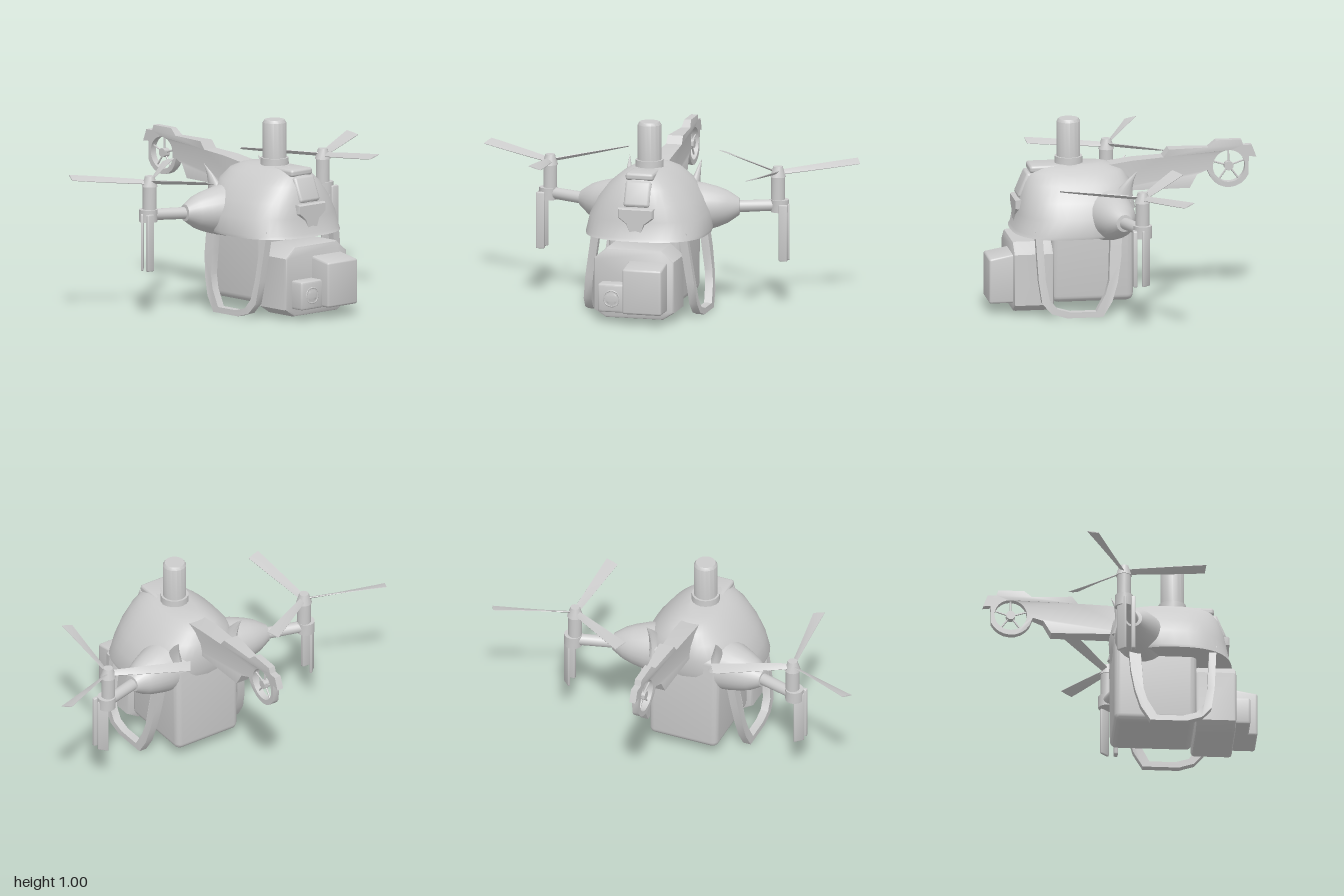
import * as THREE from 'three';
import { toCreasedNormals } from 'three/addons/utils/BufferGeometryUtils.js';
import { RoundedBoxGeometry } from 'three/addons/geometries/RoundedBoxGeometry.js';

const material = new THREE.MeshStandardMaterial({ color: 0xcccccc });
const V = (x, y, z) => new THREE.Vector3(x, y, z);

export function createModel() {
  const model = new THREE.Group();

  function add(name, geometry, x = 0, y = 0, z = 0, crease = 0.6) {
    const mesh = new THREE.Mesh(toCreasedNormals(geometry, crease), material);
    mesh.name = name;
    mesh.position.set(x, y, z);
    model.add(mesh);
    return mesh;
  }

  // Moves every vertex by a rule
  function warp(geometry, rule) {
    const p = geometry.attributes.position;
    const v = V(0, 0, 0);
    for (let i = 0; i < p.count; i++) {
      v.fromBufferAttribute(p, i);
      rule(v);
      p.setXYZ(i, v.x, v.y, v.z);
    }
    geometry.computeVertexNormals();
    return geometry;
  }

  const toShape = (pts) => new THREE.Shape(pts.map(([a, b]) => new THREE.Vector2(a, b)));

  // Side profile given as (z, y), extruded to a width centred on x = 0
  function sideExtrude(shape, width) {
    const g = new THREE.ExtrudeGeometry(shape, { depth: width, bevelEnabled: false, curveSegments: 20 });
    return g.translate(0, 0, -width / 2).rotateY(-Math.PI / 2);
  }

  // Cylinder between two points
  function rod(name, a, b, r0, r1, sides = 12) {
    const d = b.clone().sub(a);
    const mesh = add(name, new THREE.CylinderGeometry(r1, r0, d.length(), sides), 0, 0, 0, 0.9);
    mesh.position.copy(a).lerp(b, 0.5);
    mesh.quaternion.setFromUnitVectors(V(0, 1, 0), d.normalize());
    return mesh;
  }

  // Hood: stacked rounded rings of [y, half width, front z, back z]
  const rings = [
    [0.42, 0.32, 0.585, -0.02], [0.435, 0.322, 0.575, -0.03], [0.52, 0.305, 0.56, -0.05],
    [0.6, 0.265, 0.545, -0.055], [0.68, 0.205, 0.52, -0.04], [0.73, 0.145, 0.49, 0.0],
    [0.755, 0.1, 0.45, 0.06], [0.765, 0.065, 0.41, 0.1],
  ];
  const N = 40, pos = [], index = [];
  for (const [y, w, zf, zb] of rings) {
    for (let j = 0; j < N; j++) {
      const t = (j / N) * Math.PI * 2, c = Math.cos(t), s = Math.sin(t);
      const round = (u) => Math.sign(u) * Math.pow(Math.abs(u), 2 / 2.6);
      pos.push(w * round(c), y, (zf + zb) / 2 + ((zf - zb) / 2) * round(s));
    }
  }
  for (let i = 0; i < rings.length - 1; i++) {
    for (let j = 0; j < N; j++) {
      const a = i * N + j, b = i * N + ((j + 1) % N);
      index.push(a, a + N, b, b, a + N, b + N);
    }
  }
  const top = (rings.length - 1) * N;
  for (let j = 1; j < N - 1; j++) {
    index.push(0, j, j + 1);
    index.push(top, top + j + 1, top + j);
  }
  const hood = new THREE.BufferGeometry();
  hood.setAttribute('position', new THREE.Float32BufferAttribute(pos, 3));
  hood.setIndex(index);
  hood.computeVertexNormals();
  add('hood', hood);

  // Front panel, nose and brow on the hood
  add('frontPanel', new RoundedBoxGeometry(0.14, 0.14, 0.06, 2, 0.015), 0, 0.655, 0.502).rotation.x = -0.4;
  add('brow', new RoundedBoxGeometry(0.15, 0.04, 0.16, 2, 0.015), 0, 0.745, 0.41);
  const noseShape = toShape([[-0.03, 0.465], [0.03, 0.465], [0.045, 0.51], [0.09, 0.545],
    [0.09, 0.585], [-0.09, 0.585], [-0.09, 0.545], [-0.045, 0.51]]);
  add('nose', new THREE.ExtrudeGeometry(noseShape, { depth: 0.07, bevelSize: 0.006, bevelThickness: 0.01, bevelSegments: 1 }), 0, 0, 0.488);

  // Mast
  add('mastBase', new THREE.CylinderGeometry(0.073, 0.075, 0.05, 16), 0, 0.775, 0.275);
  const mast = [[0, 0.75], [0.062, 0.75], [0.062, 0.985], [0.052, 1], [0, 1]];
  add('mast', new THREE.LatheGeometry(mast.map(([r, y]) => new THREE.Vector2(r, y)), 16), 0, 0, 0.275);

  // Tail boom with a round fan opening
  const cz = -0.57, cy = 0.715;
  const boomPts = [[0.12, 0.745], [0.1, 0.61], [-0.36, 0.61], [-0.4, 0.68], [-0.455, 0.7]];
  for (let i = 1; i <= 10; i++) {
    const a = (-i / 10) * Math.PI * 0.86;
    boomPts.push([cz + 0.113 * Math.cos(a), cy + 0.113 * Math.sin(a)]);
  }
  boomPts.push([-0.675, 0.765], [-0.715, 0.76], [-0.69, 0.825], [-0.645, 0.825], [-0.635, 0.855],
    [-0.5, 0.855], [-0.46, 0.82], [-0.25, 0.82], [-0.22, 0.78], [-0.06, 0.77]);
  const boomShape = toShape(boomPts);
  boomShape.holes.push(new THREE.Path().absarc(cz, cy, 0.085, 0, Math.PI * 2));
  const boomHalfWidth = (z) => {
    if (z > -0.38) return THREE.MathUtils.mapLinear(Math.min(z, -0.05), -0.38, -0.05, 0.035, 0.05);
    return THREE.MathUtils.mapLinear(Math.max(z, -0.5), -0.5, -0.38, 0.018, 0.035);
  };
  add('tailBoom', warp(sideExtrude(boomShape, 2), (v) => { v.x *= boomHalfWidth(v.z); }));
  rod('tailFanHub', V(-0.018, cy, cz), V(0.018, cy, cz), 0.024, 0.024, 16);
  for (let i = 0; i < 5; i++) {
    const a = (i / 5) * Math.PI * 2 + 0.3;
    rod('tailFanSpoke', V(0, cy, cz), V(0, cy + 0.09 * Math.sin(a), cz + 0.09 * Math.cos(a)), 0.005, 0.005, 6);
  }

  // Rear equipment box, with a narrower bottom
  const box = new RoundedBoxGeometry(0.4, 0.56, 0.43, 3, 0.035);
  add('equipmentBox', warp(box, (v) => { v.x *= v.y < 0 ? 1 + v.y * 0.15 : 1; }), 0, 0.335, 0.175);

  // Front camera housing with cut corners
  const housing = toShape([[-0.15, 0.025], [0.15, 0.025], [0.205, 0.06], [0.205, 0.32], [0.145, 0.37],
    [-0.145, 0.37], [-0.205, 0.32], [-0.205, 0.06]]);
  add('cameraHousing', new THREE.ExtrudeGeometry(housing, { depth: 0.18, bevelSize: 0.012, bevelThickness: 0.016, bevelSegments: 2 }), 0, 0, 0.4);
  add('housingNeck', new THREE.BoxGeometry(0.25, 0.1, 0.12), 0, 0.4, 0.33);

  // Large and small camera blocks
  const large = new RoundedBoxGeometry(0.21, 0.24, 0.16, 2, 0.012);
  add('largeCamera', warp(large, (v) => { if (v.y > 0 && v.z < 0) v.y += 0.025; }), 0.075, 0.18, 0.64);
  add('smallCamera', new RoundedBoxGeometry(0.15, 0.15, 0.12, 2, 0.012), -0.1, 0.132, 0.613);
  for (const [x, y, z, r] of [[-0.1, 0.13, 0.673, 0.042], [0.105, 0.128, 0.718, 0.038],
    [0.105, 0.25, 0.718, 0.022], [0.03, 0.205, 0.718, 0.018]]) {
    add('lensRing', new THREE.TorusGeometry(r, 0.005, 8, 24), x, y, z - 0.003, 1.5);
    add('lens', new THREE.SphereGeometry(r, 20, 12).scale(1, 1, 0.15), x, y, z - 0.004, 1.5);
  }

  // Landing loop profile as (z, y)
  const loop = [[0.49, 0.46], [0.477, 0.2], [0.46, 0.08], [0.41, 0.025], [0.33, 0], [0.14, 0], [0.09, 0.08],
    [0.06, 0.18], [0.04, 0.3], [0.03, 0.46], [0.09, 0.46], [0.1, 0.3], [0.105, 0.19], [0.125, 0.12],
    [0.175, 0.03], [0.31, 0.03], [0.38, 0.05], [0.42, 0.1], [0.44, 0.2], [0.452, 0.46]];

  // Paired parts on both sides
  for (const s of [1, -1]) {
    const leg = warp(sideExtrude(toShape(loop), 0.042), (v) => {
      v.x += s * (0.29 - 0.05 * Math.pow(Math.max(v.y, 0) / 0.42, 1.4));
    });
    add('landingLoop', leg);

    // Shoulder fairing and arm
    const fairing = [[0, 0], [0.14, 0], [0.125, 0.08], [0.105, 0.15], [0.085, 0.2], [0.055, 0.245], [0.045, 0.26], [0, 0.265]];
    const shoulder = add('shoulder', new THREE.LatheGeometry(fairing.map(([r, y]) => new THREE.Vector2(r, y)), 24), s * 0.17, 0.52, 0.1, 0.8);
    shoulder.quaternion.setFromUnitVectors(V(0, 1, 0), V(s, 0.02, -0.22).normalize());
    rod('arm', V(s * 0.36, 0.522, 0.06), V(s * 0.61, 0.53, -0.02), 0.032, 0.03, 16);

    // Swept spike behind the hood
    const spike = warp(new THREE.ConeGeometry(0.06, 0.2, 12, 4), (v) => {
      v.z = v.z * 1.3 - 3 * (v.y + 0.1) ** 2 * 0.7;
      v.x *= 0.7;
    });
    add('spike', spike, s * 0.18, 0.65, 0.025, 0.9).rotation.z = -s * 0.15;

    // Rotor post with its collar and stand
    const rx = s * 0.615, rz = -0.02;
    rod('rotorPost', V(rx, 0.5, rz), V(rx, 0.695, rz), 0.036, 0.036, 16);
    rod('postCollar', V(s * 0.625, 0.495, rz), V(s * 0.625, 0.56, rz), 0.048, 0.048, 16);
    rod('rotorHub', V(rx, 0.68, rz), V(rx, 0.735, rz), 0.042, 0.025, 12);
    add('standFront', new RoundedBoxGeometry(0.046, 0.3, 0.022, 2, 0.006), s * 0.655, 0.39, 0.026);
    add('standRear', new RoundedBoxGeometry(0.058, 0.3, 0.014, 2, 0.005), s * 0.655, 0.39, -0.033).rotation.y = -s * Math.PI / 4;

    // Three twisted blades, widening towards the tip
    for (let i = 0; i < 3; i++) {
      const angle = THREE.MathUtils.degToRad(26 + 120 * i);
      const blade = warp(new THREE.BoxGeometry(0.42, 0.01, 1, 8, 1, 2), (v) => {
        v.x += 0.22;
        const k = v.x / 0.43;
        const half = (0.015 + 0.018 * k) * 2 * v.z;
        const twist = s * (0.65 - 0.35 * k);
        const y = v.y * (1 - 0.4 * k) * (Math.abs(v.z) > 0.4 ? 0.4 : 1);
        v.y = y * Math.cos(twist) - half * Math.sin(twist) + 0.045 * k;
        v.z = half * Math.cos(twist) + y * Math.sin(twist);
      });
      add('rotorBlade', blade, rx, 0.702, rz).rotation.y = s > 0 ? angle : Math.PI - angle;
    }
  }
  return model;
}
